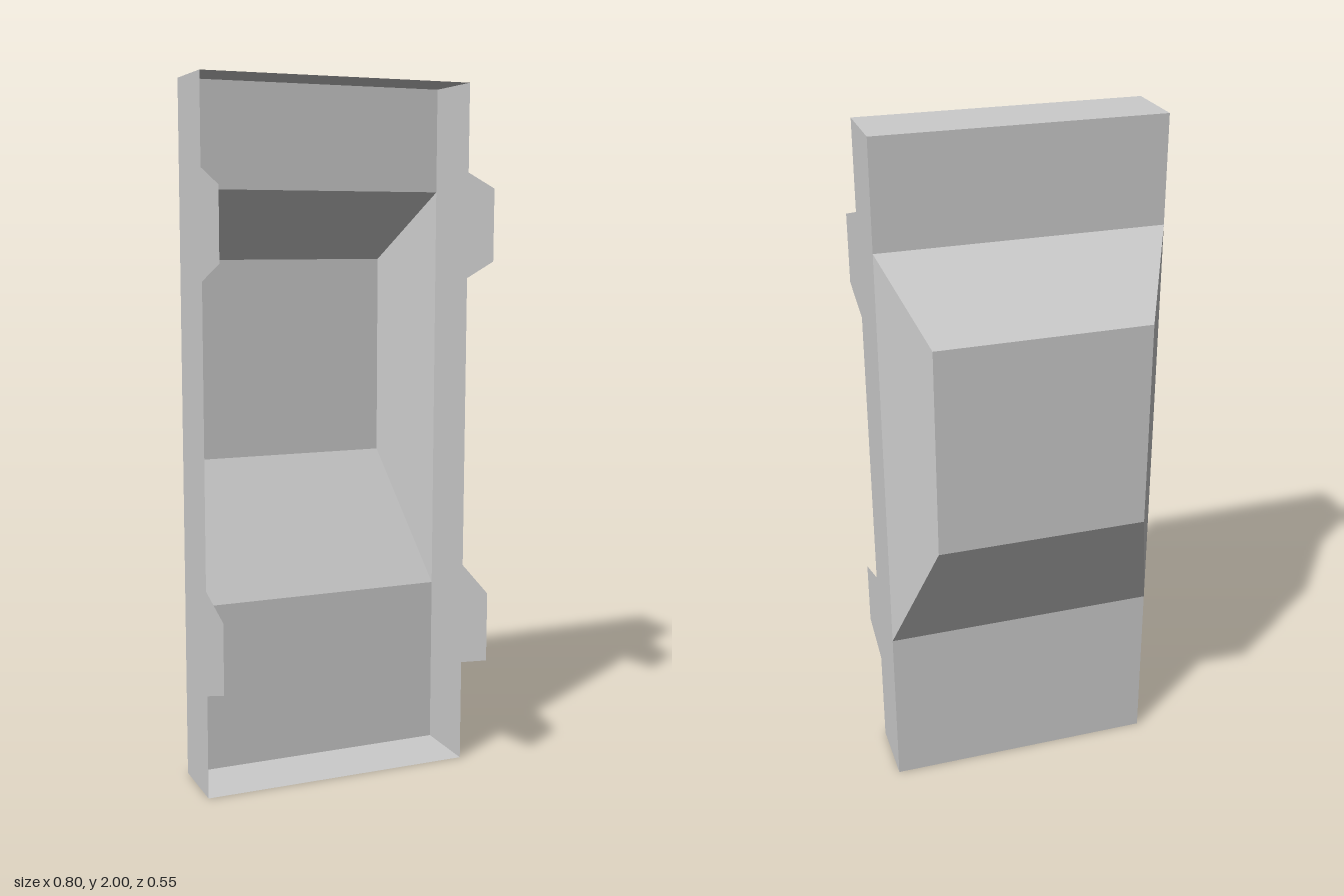
import * as THREE from 'three';

const material = new THREE.MeshStandardMaterial({ color: 0xcccccc, flatShading: true, side: THREE.DoubleSide });

// Front, back and deepest planes of the tray
const FRONT = 0.125, BACK = -0.075, DEEP = -0.275;

// Rectangle corners, counter-clockwise seen from the front
const rect = (halfWidth, y0, y1, z) => [
  [-halfWidth, y0, z], [halfWidth, y0, z], [halfWidth, y1, z], [-halfWidth, y1, z],
];

// One mesh from a list of four-cornered faces
function quadMesh(name, quads) {
  const positions = quads.flatMap(([a, b, c, d]) => [a, b, c, a, c, d].flat());
  const geometry = new THREE.BufferGeometry();
  geometry.setAttribute('position', new THREE.Float32BufferAttribute(positions, 3));
  geometry.computeVertexNormals();
  const mesh = new THREE.Mesh(geometry, material);
  mesh.name = name;
  return mesh;
}

// Band of four walls joining a rear loop to a front loop, facing outward
const walls = (rear, front) => rear.map((p, i) => {
  const j = (i + 1) % 4;
  return [p, rear[j], front[j], front[i]];
});

// Back-facing panel
const panel = (loop) => [...loop].reverse();

export function createModel() {
  const group = new THREE.Group();
  group.name = 'tray';

  // Open-fronted rim
  group.add(quadMesh('rim', walls(rect(0.4, 0, 2, BACK), rect(0.4, 0, 2, FRONT))));

  // Flat back panels below and above the recess
  group.add(quadMesh('lowerBackPanel', [panel(rect(0.4, 0, 0.5, BACK))]));
  group.add(quadMesh('upperBackPanel', [panel(rect(0.4, 1.7, 2, BACK))]));

  // Tapered recess bulging out of the back
  const floor = rect(0.3, 0.9, 1.5, DEEP);
  const mouth = rect(0.4, 0.5, 1.7, BACK);
  group.add(quadMesh('recess', [...walls(floor, mouth), panel(floor)]));

  // Thin tapered tabs on the front edges of both sides
  for (const [side, x] of [['left', 0.4], ['right', -0.4]]) {
    for (const [level, y] of [['Lower', 0.3], ['Upper', 1.45]]) {
      const tab = [
        [x, y, FRONT], [x, y + 0.3, FRONT], [x, y + 0.25, 0.275], [x, y + 0.05, 0.275],
      ];
      group.add(quadMesh(`${side}${level}Tab`, [x > 0 ? tab : tab.reverse()]));
    }
  }
  return group;
}
